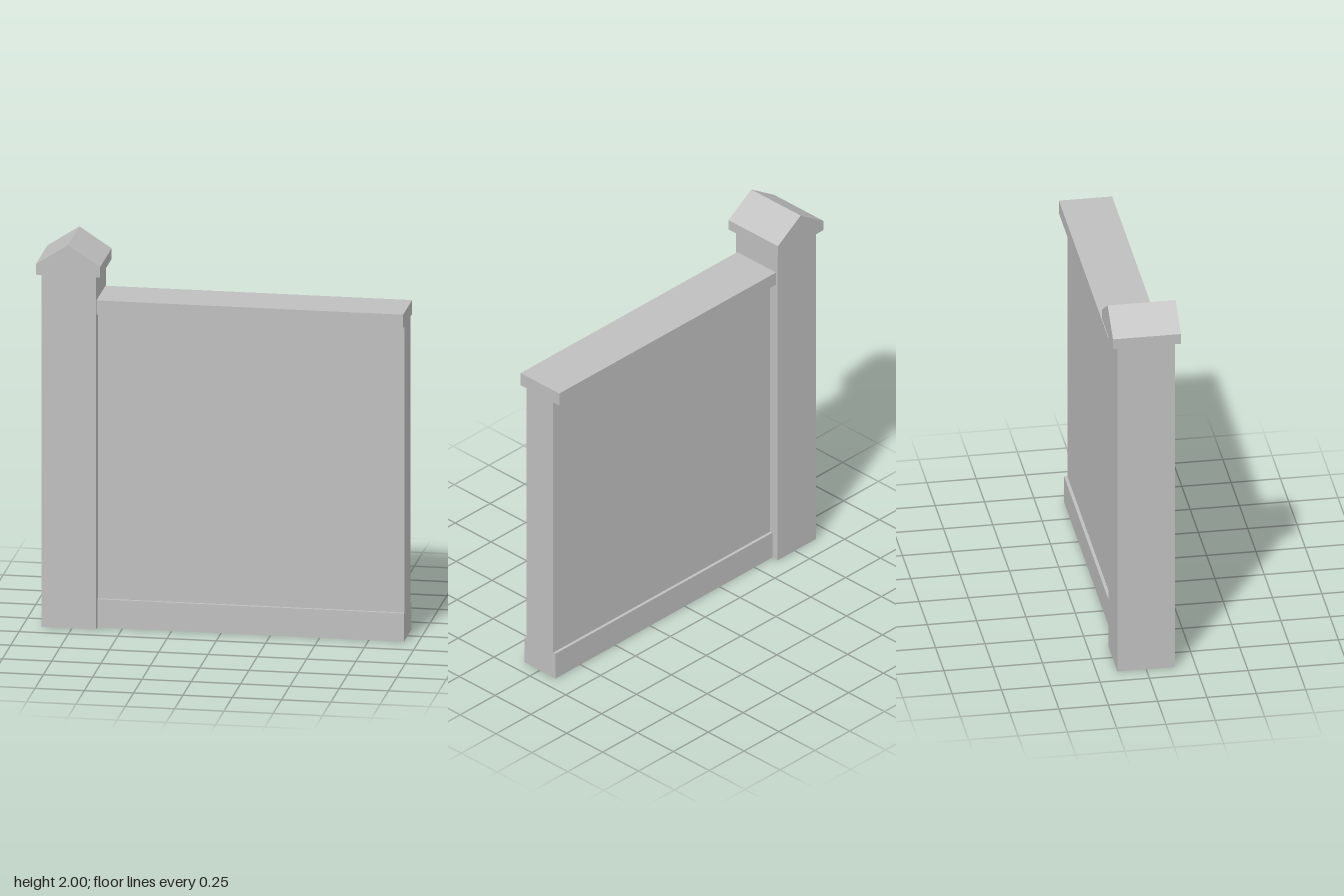
import * as THREE from 'three';

const stone = new THREE.MeshStandardMaterial({ color: 0xbfbfbf, side: THREE.DoubleSide });
stone.name = 'grey stone';

// Extrude an outline centred along its depth
function prism(points, depth) {
  const shape = new THREE.Shape(points.map(([x, y]) => new THREE.Vector2(x, y)));
  return new THREE.ExtrudeGeometry(shape, { depth, bevelEnabled: false }).translate(0, 0, -depth / 2);
}

// Remove the faces lying on the ground, so the hollow part is open below
function openBottom(geometry) {
  const source = geometry.index ? geometry.toNonIndexed() : geometry;
  const p = source.attributes.position;
  const kept = [];
  for (let i = 0; i < p.count; i += 3) {
    if ([0, 1, 2].every((k) => p.getY(i + k) < 1e-4)) continue;
    for (let k = 0; k < 3; k++) kept.push(p.getX(i + k), p.getY(i + k), p.getZ(i + k));
  }
  const open = new THREE.BufferGeometry();
  open.setAttribute('position', new THREE.Float32BufferAttribute(kept, 3));
  open.computeVertexNormals();
  return open;
}

export function createModel() {
  const model = new THREE.Group();
  model.name = 'wallWithPost';
  const add = (name, geometry) => {
    const mesh = new THREE.Mesh(geometry, stone);
    mesh.name = name;
    model.add(mesh);
  };
  const postX = -0.765;

  // Square post
  const postTop = 1.838;
  add('post', openBottom(new THREE.BoxGeometry(0.276, postTop, 0.291).translate(postX, postTop / 2, 0)));

  // Gabled cap with its ridge running front to back
  const eave = 0.163;
  add('postCap', prism([[-eave, 1.838], [eave, 1.838], [eave, 1.893], [0, 2], [-eave, 1.893]], 0.345)
    .translate(postX, 0, 0));

  // Wall section: plinth, panel and overhanging coping, mirrored front to back
  const half = [[0.1085, 0], [0.1085, 0.147], [0.0925, 0.147], [0.0925, 1.636], [0.135, 1.636], [0.135, 1.708]];
  const outline = [...half, ...half.map(([z, y]) => [-z, y]).reverse()];
  const start = -0.627, end = 0.928;
  add('wall', openBottom(prism(outline, end - start).rotateY(Math.PI / 2).translate((start + end) / 2, 0, 0)));

  return model;
}
